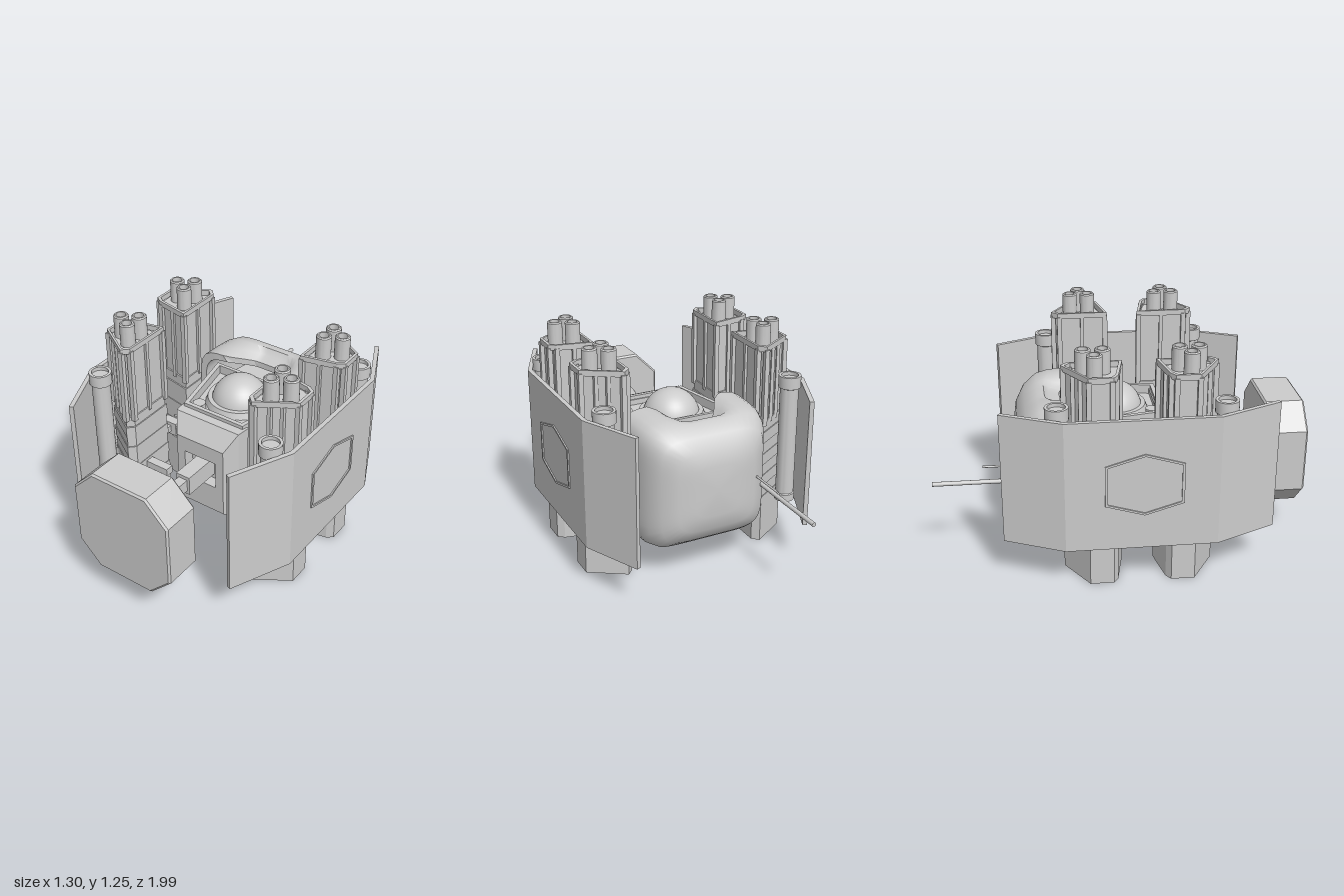
import * as THREE from 'three';
import { toCreasedNormals } from 'three/addons/utils/BufferGeometryUtils.js';

const mat = new THREE.MeshStandardMaterial({ color: 0xcccccc, side: THREE.DoubleSide });

export function createModel() {
  const root = new THREE.Group();

  const add = (name, geo, parent = root, x = 0, y = 0, z = 0) => {
    const m = new THREE.Mesh(geo, mat);
    m.name = name;
    m.position.set(x, y, z);
    parent.add(m);
    return m;
  };
  const box = (name, w, h, d, x, y, z, parent) =>
    add(name, new THREE.BoxGeometry(w, h, d), parent, x, y, z);
  const group = (name) => {
    const g = new THREE.Group();
    g.name = name;
    root.add(g);
    return g;
  };
  const shapeOf = (pts, hole) => {
    const s = new THREE.Shape(pts.map((p) => new THREE.Vector2(...p)));
    if (hole) s.holes.push(new THREE.Path(hole.map((p) => new THREE.Vector2(...p))));
    return s;
  };
  const extrude = (pts, depth, hole) =>
    new THREE.ExtrudeGeometry(shapeOf(pts, hole), { depth, bevelEnabled: false });
  // Upright prism over an [x, z] outline
  const prism = (name, pts, y0, y1, parent, hole) => {
    const flip = (a) => a && a.map(([x, z]) => [x, -z]);
    return add(name, extrude(flip(pts), y1 - y0, flip(hole)).rotateX(-Math.PI / 2), parent, 0, y0, 0);
  };
  const scaled = (pts, s, cx, cy) => pts.map(([x, y]) => [cx + (x - cx) * s, cy + (y - cy) * s]);

  // ---- Hollow rounded rear hood, open to the front, with a notch behind the dome
  const rings = [
    [-0.56, 0, 0], [-0.56, 0.13, 0.14], [-0.545, 0.22, 0.22], [-0.5, 0.295, 0.29], [-0.43, 0.338, 0.34],
    [-0.36, 0.358, 0.353], [-0.26, 0.366, 0.356], [-0.16, 0.37, 0.356], [-0.16, 0.335, 0.32],
    [-0.26, 0.33, 0.318], [-0.4, 0.3, 0.3], [-0.5, 0.2, 0.2], [-0.5, 0, 0],
  ];
  const SEG = 72, pos = [], idx = [];
  rings.forEach(([z, w, h]) => {
    for (let i = 0; i < SEG; i++) {
      const a = (i / SEG) * Math.PI * 2, c = Math.cos(a), s = Math.sin(a);
      const n = THREE.MathUtils.mapLinear(Math.min(w, 0.37), 0, 0.37, 2.5, 7);
      const r = 1 / Math.pow(Math.abs(c) ** n + Math.abs(s) ** n, 1 / n);
      const x = c * r * w, y = s * r * h;
      const k = y > 0.2 ? 1 - THREE.MathUtils.smoothstep(Math.abs(x), 0.08, 0.21) : 0;
      const f = THREE.MathUtils.smoothstep(z, -0.45, -0.16);
      pos.push(x, 0.515 + y - 0.07 * k * f, z - 0.15 * k * f);
    }
  });
  for (let j = 0; j < rings.length - 1; j++)
    for (let i = 0; i < SEG; i++) {
      const a = j * SEG + i, b = j * SEG + ((i + 1) % SEG);
      idx.push(a, a + SEG, b, b, a + SEG, b + SEG);
    }
  // winding is turned outward
  for (let i = 0; i < idx.length; i += 3) [idx[i + 1], idx[i + 2]] = [idx[i + 2], idx[i + 1]];
  const hood = new THREE.BufferGeometry();
  hood.setAttribute('position', new THREE.Float32BufferAttribute(pos, 3));
  hood.setIndex(idx);
  add('rearHood', toCreasedNormals(hood, 0.8));

  // ---- Cockpit body: tapered tub with raised rim and dome
  const tub = [[-0.28, -0.2], [0.28, -0.2], [0.19, 0.23], [-0.19, 0.23]];
  prism('cockpitBody', tub, 0.2, 0.73);
  prism('cockpitRim', tub, 0.73, 0.78, root, scaled(tub, 0.9, 0, 0));
  prism('rearDeck', [[-0.18, -0.45], [0.18, -0.45], [0.22, -0.2], [-0.22, -0.2]], 0.22, 0.72);
  add('domeCollar', new THREE.CylinderGeometry(0.175, 0.19, 0.04, 40), root, 0, 0.745, -0.02);
  add('dome', new THREE.SphereGeometry(0.155, 40, 24), root, 0, 0.73, -0.02);
  add('deckKnob', new THREE.CylinderGeometry(0.035, 0.035, 0.05, 20), root, -0.13, 0.75, 0.175);

  // ---- Front block: chamfered nose with a window for the arm
  const nose = group('noseBlock');
  prism('noseBase', [[-0.21, 0.2], [0.21, 0.2], [0.2, 0.28], [-0.2, 0.28]], 0.2, 0.76, nose);
  const loft = (x, y0, y1, z) => [[-x, y0, z], [x, y0, z], [x, y1, z], [-x, y1, z]];
  const face = [loft(0.2, 0.2, 0.76, 0.28), loft(0.15, 0.25, 0.66, 0.35), loft(0.1, 0.41, 0.57, 0.35), loft(0.1, 0.41, 0.57, 0.285)];
  const nv = [];
  for (let j = 0; j < 3; j++)
    for (let i = 0; i < 4; i++) {
      const k = (i + 1) % 4, a = face[j][i], b = face[j][k], c = face[j + 1][k], d = face[j + 1][i];
      nv.push(...a, ...b, ...c, ...a, ...c, ...d);
    }
  const noseGeo = new THREE.BufferGeometry();
  noseGeo.setAttribute('position', new THREE.Float32BufferAttribute(nv, 3));
  noseGeo.computeVertexNormals();
  add('noseFrame', noseGeo, nose);

  // ---- Underside vent fins
  const vent = group('bellyVent');
  box('ventPlate', 0.16, 0.02, 0.2, 0, 0.2, 0.05, vent);
  for (let i = 0; i < 6; i++) box('ventFin', 0.13, 0.06, 0.01, 0, 0.17, -0.015 + i * 0.026, vent);

  // ---- Octagonal front shield on an arm
  const front = group('frontShield');
  const W = 0.285, H = 0.29, C = 0.122;
  const oct = [[-W + C, -H], [W - C, -H], [W, -H + C], [W, H - C], [W - C, H], [-W + C, H], [-W, H - C], [-W, -H + C]];
  add('octagonPlate', new THREE.ExtrudeGeometry(shapeOf(oct), {
    depth: 0.196, bevelEnabled: true, bevelSize: 0.01, bevelThickness: 0.01, bevelSegments: 1,
  }), front, 0, 0.497, 0.788);
  add('shieldBoss', new THREE.SphereGeometry(0.157, 36, 20), front, 0, 0.497, 0.765);
  box('armSleeve', 0.085, 0.11, 0.22, 0, 0.49, 0.39, front);
  box('armRod', 0.055, 0.07, 0.16, 0, 0.49, 0.56, front);

  // ---- Rear antennas
  const antenna = (r, x, y, z0, z1) =>
    add('antenna', new THREE.CylinderGeometry(r, r, z1 - z0, 12).rotateX(Math.PI / 2), root, x, y, (z0 + z1) / 2);
  antenna(0.012, -0.285, 0.465, -1, -0.4);
  antenna(0.006, -0.24, 0.53, -0.735, -0.4);

  // ---- Leg pod: outline in x and distance q from the middle plane z = 0.07
  const podOutline = [[0.37, 0.085], [0.565, 0.125], [0.6, 0.15], [0.6, 0.273], [0.405, 0.395], [0.37, 0.36]];
  const legPod = (sx, sz) => {
    const g = group('legPod');
    const at = (s) => scaled(podOutline, s, 0.475, 0.235).map(([x, q]) => [sx * x, 0.07 + sz * q]);
    const full = at(1);
    prism('footRim', full, 0, 0.03, g, at(0.88));
    prism('foot', full, 0.03, 0.27, g);
    for (let i = 0; i < 6; i++) prism('rib', at(i % 2 ? 0.99 : 0.955), 0.27 + i * 0.065, 0.335 + i * 0.065, g);
    prism('shoulder', at(0.93), 0.66, 0.72, g);
    prism('podCore', at(0.86), 0.72, 1.12, g);
    prism('podRim', full, 1.12, 1.15, g, at(0.88));
    at(0.93).forEach(([x, z]) => box('cornerPost', 0.026, 0.43, 0.026, x, 0.915, z, g));
    // panel strips on the faces
    const a = at(0.9);
    for (const [i, j, t] of [[3, 4, 0.35], [3, 4, 0.65], [0, 1, 0.5], [5, 0, 0.5]])
      box('panelStrip', 0.02, 0.42, 0.02, a[i][0] + (a[j][0] - a[i][0]) * t, 0.91, a[i][1] + (a[j][1] - a[i][1]) * t, g);
    // cluster of three hollow tubes
    const tube = [[0.026, 0.0], [0.026, 0.145], [0.034, 0.145], [0.04, 0.139], [0.04, 0]].map((p) => new THREE.Vector2(...p));
    for (const [x, q] of [[0.444, 0.19], [0.526, 0.237], [0.444, 0.287]])
      add('launchTube', toCreasedNormals(new THREE.LatheGeometry(tube, 24), 0.5), g, sx * x, 1.1, 0.07 + sz * q);
  };

  // ---- Everything mirrored left and right
  for (const sx of [1, -1]) {
    for (const sz of [1, -1]) {
      legPod(sx, sz);
      // upright canister with collars
      const can = [[0, 0], [0.055, 0], [0.055, 0.04], [0.05, 0.045], [0.05, 0.66], [0.06, 0.665], [0.06, 0.73],
        [0.045, 0.73], [0.045, 0.71], [0, 0.71]].map((p) => new THREE.Vector2(...p));
      add('canister', toCreasedNormals(new THREE.LatheGeometry(can, 28), 0.5), root, sx * 0.535, 0.255, sz > 0 ? 0.49 : -0.355);
    }
    // folded side shield
    const side = group('sideShield');
    const plan = [[0.495, 0.775], [0.642, 0.45], [0.642, -0.33], [0.5, -0.64], [0.478, -0.63], [0.618, -0.325], [0.618, 0.445], [0.473, 0.765]];
    prism('shieldPlate', plan.map(([x, z]) => [sx * x, z]), 0.23, 0.94, side);
    const hex = [[-0.2, -0.11], [0, -0.17], [0.2, -0.11], [0.2, 0.11], [0, 0.17], [-0.2, 0.11]];
    add('hexFrame', extrude(hex, 0.012, scaled(hex, 0.93, 0, 0)).rotateY(Math.PI / 2), side, sx > 0 ? 0.637 : -0.649, 0.59, 0.07);

    // struts joining body, pods and shield
    const strut = group('strut');
    box('frontStrut', 0.39, 0.045, 0.05, sx * 0.425, 0.362, 0.33, strut);
    box('strutPad', 0.02, 0.09, 0.08, sx * 0.612, 0.362, 0.33, strut);
    box('crossStrut', 0.42, 0.05, 0.045, sx * 0.41, 0.4, 0.022, strut);
    box('crossStrutRidge', 0.4, 0.02, 0.025, sx * 0.41, 0.43, 0.022, strut);
    box('strutHub', 0.1, 0.08, 0.055, sx * 0.455, 0.4, 0.022, strut);
    box('podLink', 0.032, 0.04, 0.26, sx * 0.455, 0.4, 0.055, strut);
    for (const z of [-0.04, 0.155]) box('linkFlange', 0.05, 0.06, 0.02, sx * 0.455, 0.4, z, strut);
  }
  return root;
}
